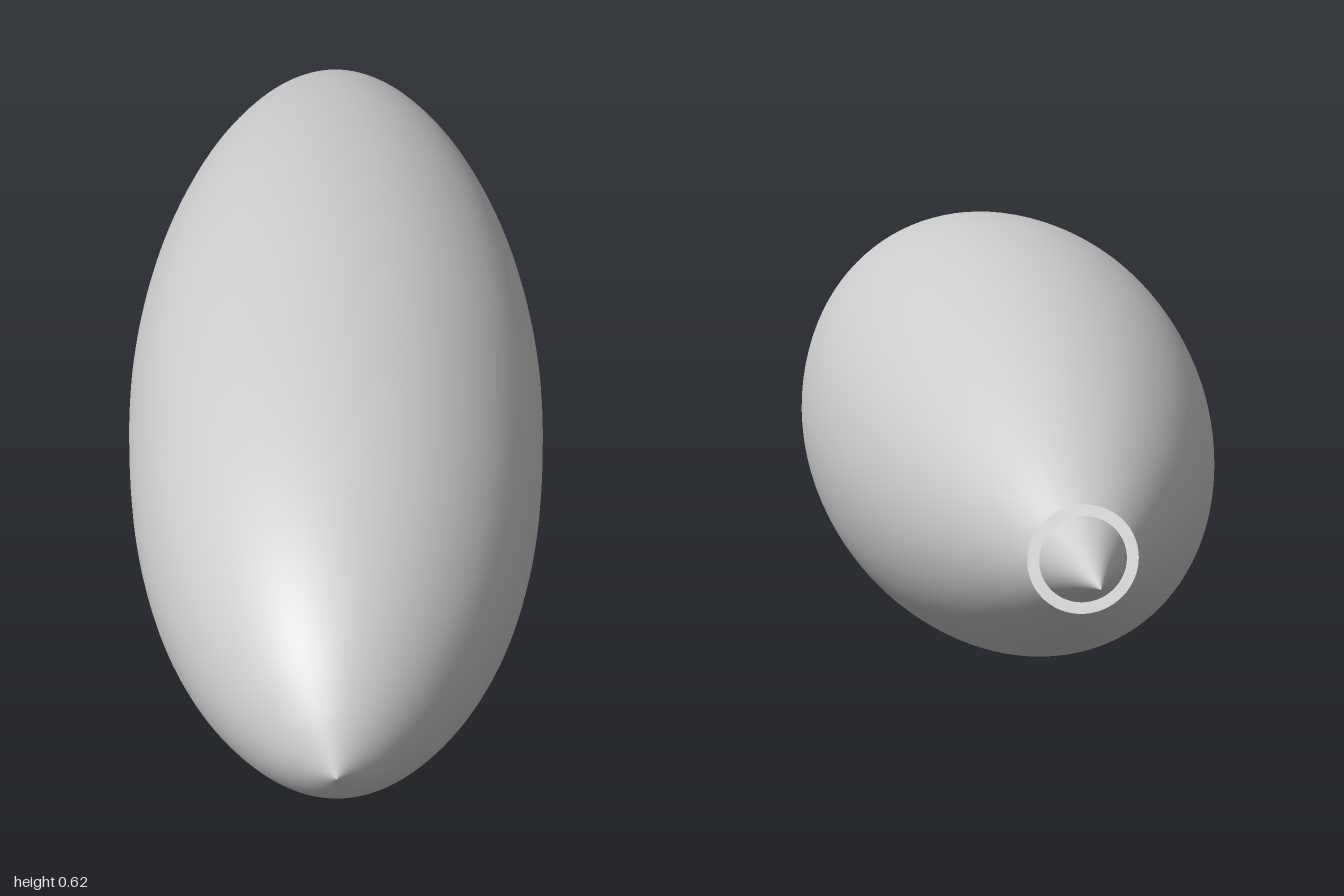
import * as THREE from 'three';

const RADIUS = 0.31;

// Smooth body of revolution along z from [z, radius] points listed tail to nose
function revolve(name, points, steps, material) {
  const curve = new THREE.SplineCurve(points.map(([z, r]) => new THREE.Vector2(r, z)));
  const profile = curve.getPoints(steps).map((p) => new THREE.Vector2(Math.max(p.x, 0), p.y));
  const geometry = new THREE.LatheGeometry(profile, 96);
  geometry.rotateX(Math.PI / 2);
  const mesh = new THREE.Mesh(geometry, material);
  mesh.name = name;
  mesh.position.y = RADIUS;
  return mesh;
}

export function createModel() {
  const group = new THREE.Group();
  group.name = 'spindleHull';
  const material = new THREE.MeshStandardMaterial({ color: 0xcccccc, side: THREE.DoubleSide });

  // Hull: pointed nose, fullest just ahead of the middle, open at the tail
  group.add(revolve('hull', [
    [-0.85, 0.07], [-0.75, 0.127], [-0.6, 0.193], [-0.4, 0.252], [-0.15, 0.295],
    [0.12, RADIUS], [0.4, 0.292], [0.6, 0.257], [0.75, 0.207], [0.87, 0.141],
    [0.95, 0.071], [1, 0],
  ], 88, material));

  // Tail cone: set in the open end, sides slightly hollow
  group.add(revolve('tailCone', [
    [-1, 0], [-0.95, 0.016], [-0.9, 0.034], [-0.85, 0.055],
  ], 16, material));

  return group;
}
